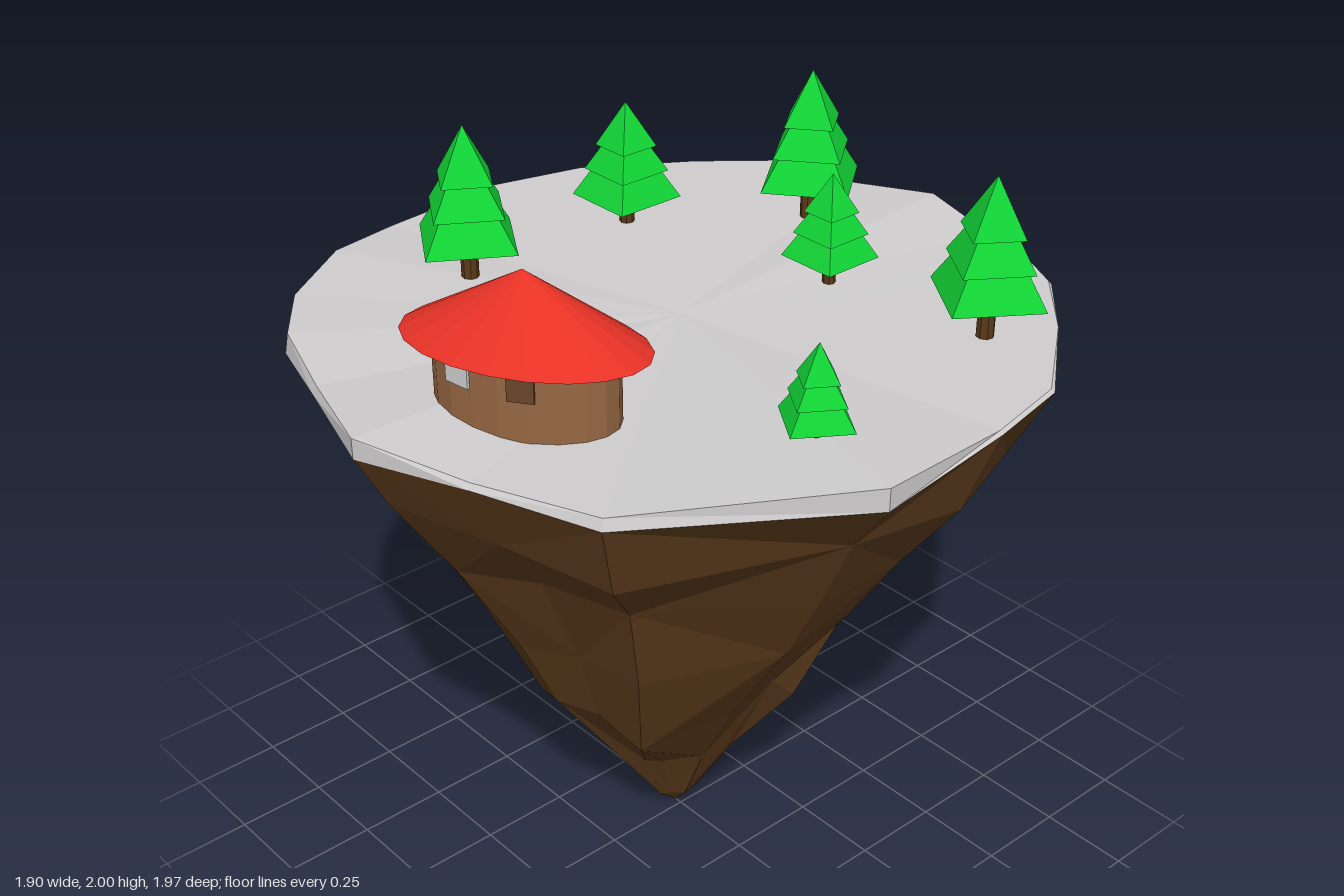
import * as THREE from 'three';

const paint = (name, color) => {
  const m = new THREE.MeshStandardMaterial({ color });
  m.name = name;
  return m;
};

// Faceted copy of a geometry
function faceted(geo) {
  const g = geo.index ? geo.toNonIndexed() : geo;
  g.computeVertexNormals();
  return g;
}

function addMesh(parent, name, geo, mat, x = 0, y = 0, z = 0) {
  const m = new THREE.Mesh(faceted(geo), mat);
  m.name = name;
  m.position.set(x, y, z);
  parent.add(m);
  return m;
}

function fromTriangles(points) {
  const g = new THREE.BufferGeometry();
  g.setAttribute('position', new THREE.Float32BufferAttribute(points.flat(), 3));
  return g;
}

// Band of triangles between an upper and a lower ring, diagonals alternating
function band(tris, top, bottom, parity = 0) {
  const n = top.length;
  for (let i = 0; i < n; i++) {
    const j = (i + 1) % n;
    if ((i + parity) % 2) tris.push(top[i], top[j], bottom[i], top[j], bottom[j], bottom[i]);
    else tris.push(top[i], top[j], bottom[j], top[i], bottom[j], bottom[i]);
  }
}

export function createModel() {
  const snow = paint('snow', 0xd0cecf);
  const soil = paint('soil', 0x63401f);
  const bark = paint('bark', 0x5c3a1a);
  const leaf = paint('leaf', 0x12d636);
  const wall = paint('wall', 0x986844);
  const roof = paint('roof', 0xe63226);
  const shade = paint('shadedWood', 0x6b452b);
  const pane = paint('pane', 0xd4d4d4);

  const model = new THREE.Group();
  model.name = 'floatingIsland';
  let seed = 7;
  const jitter = (a) => {
    seed = (seed * 16807) % 2147483647;
    return (seed / 2147483647 - 0.5) * 2 * a;
  };

  // Island edge: x, z, y of the snow rim, y of the soil edge
  const edge = [
    [-0.05, -0.985, 1.605, 1.55], [0.2, -0.92, 1.59, 1.56], [0.36, -0.9, 1.585, 1.56],
    [0.49, -0.84, 1.58, 1.57], [0.67, -0.65, 1.58, 1.565], [0.87, -0.4, 1.578, 1.57],
    [0.92, -0.16, 1.578, 1.57], [0.95, 0.24, 1.605, 1.545], [0.61, 0.76, 1.58, 1.55],
    [0.3, 0.88, 1.575, 1.56], [0.01, 0.985, 1.605, 1.55], [-0.28, 0.9, 1.585, 1.56],
    [-0.53, 0.82, 1.6, 1.545], [-0.7, 0.68, 1.595, 1.55], [-0.86, 0.46, 1.595, 1.56],
    [-0.92, 0.24, 1.58, 1.57], [-0.95, -0.14, 1.578, 1.57], [-0.89, -0.4, 1.58, 1.565],
    [-0.7, -0.67, 1.585, 1.555], [-0.53, -0.82, 1.595, 1.55], [-0.28, -0.91, 1.585, 1.56],
  ];
  const rim = edge.map(([x, z, y], i) => {
    const s = i % 3 === 1 ? 1 : 0.99;
    return [x * s, y, z * s];
  });
  const soilEdge = edge.map(([x, z, , y]) => [x, y, z]);

  // Snow cap
  const cap = [];
  rim.forEach((p, i) => cap.push([0, 1.58, 0], rim[(i + 1) % rim.length], p));
  band(cap, rim, soilEdge);
  addMesh(model, 'snowCap', fromTriangles(cap), snow);

  // Rock: height, then reach to -x, +x, +z, -z
  const levels = [
    [1.36, 0.87, 0.84, 0.86, 0.87], [1.15, 0.78, 0.7, 0.71, 0.74], [0.86, 0.58, 0.54, 0.56, 0.54],
    [0.54, 0.4, 0.34, 0.41, 0.35], [0.28, 0.22, 0.15, 0.18, 0.2], [0.07, 0.065, 0.045, 0.07, 0.07],
  ];
  const rock = [];
  let above = soilEdge;
  levels.forEach(([y, left, right, front, back], k) => {
    const ring = edge.map(([x, z]) => {
      const s = 1 + jitter(0.05);
      return [
        x * s * (x < 0 ? left : right) / 0.95 - 0.01,
        y + jitter(k < 5 ? 0.05 : 0.015),
        z * s * (z > 0 ? front : back) / 0.985,
      ];
    });
    band(rock, above, ring, k);
    above = ring;
  });
  above.forEach((p, i) => rock.push(p, above[(i + 1) % above.length], [-0.02, 0, 0]));
  addMesh(model, 'rock', fromTriangles(rock), soil);

  // Trees: x, z, half diagonal, foliage bottom, top, turn
  const trees = [
    [-0.205, -0.645, 0.165, 1.69, 2, -0.12], [0.58, -0.48, 0.165, 1.69, 2, 0.18],
    [-0.505, 0.275, 0.165, 1.69, 2, 0.23], [0.673, 0.19, 0.106, 1.635, 1.83, 0.2],
    [-0.515, -0.26, 0.146, 1.655, 1.92, Math.PI / 4], [0.12, -0.4, 0.124, 1.655, 1.88, Math.PI / 4],
  ];
  // Foliage tiers as fractions: bottom, top, bottom radius, top radius
  const tiers = [[0, 0.32, 1, 0.58], [0.28, 0.58, 0.77, 0.38], [0.54, 1, 0.56, 0]];
  for (const [x, z, r, low, high, turn] of trees) {
    const tree = new THREE.Group();
    tree.name = 'tree';
    tree.position.set(x, 0, z);
    tree.rotation.y = turn;
    model.add(tree);
    const h = high - low;
    for (const [b, t, rb, rt] of tiers) {
      const geo = new THREE.CylinderGeometry(r * rt, r * rb, h * (t - b), 4);
      addMesh(tree, 'foliage', geo, leaf, 0, low + (h * (b + t)) / 2, 0);
    }
    const trunkHeight = low + 0.03 - 1.57;
    addMesh(tree, 'trunk', new THREE.CylinderGeometry(r * 0.14, r * 0.14, trunkHeight, 8), bark,
      0, 1.57 + trunkHeight / 2, 0);
  }

  // Oval hut
  const hut = new THREE.Group();
  hut.name = 'hut';
  hut.position.set(0.13, 0, 0.582);
  hut.rotation.y = 0.447;
  model.add(hut);
  const a = 0.231, b = 0.142;
  addMesh(hut, 'hutWall', new THREE.CylinderGeometry(1, 1, 0.19, 20).scale(a, 1, b), wall, 0, 1.67, 0);
  addMesh(hut, 'hutRoof', new THREE.ConeGeometry(1, 0.175, 20).scale(0.309, 1, 0.188), roof, 0, 1.8475, 0);

  // Thin plates set on the curved wall: angle, width, height, centre y
  const openings = [
    ['paleWindow', pane, -0.49, 0.07, 0.07, 1.72], ['darkWindow', shade, 0.24, 0.065, 0.075, 1.718],
    ['door', shade, Math.PI, 0.06, 0.12, 1.64],
  ];
  for (const [name, mat, t, w, h, y] of openings) {
    const plate = addMesh(hut, name, new THREE.BoxGeometry(w, h, 0.009), mat,
      a * Math.sin(t), y, b * Math.cos(t));
    plate.rotation.y = Math.atan2(Math.sin(t) / a, Math.cos(t) / b);
  }
  return model;
}
